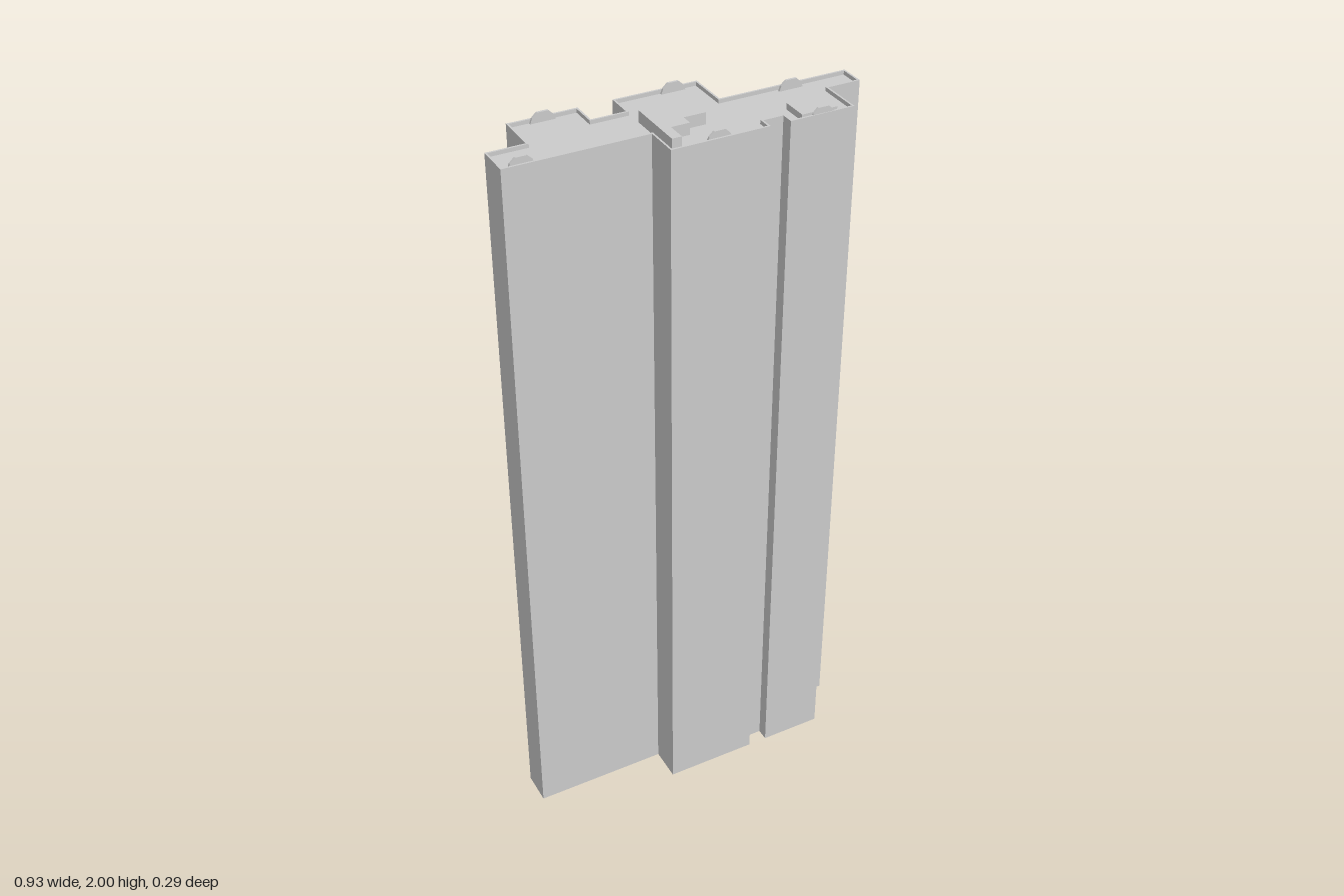
import * as THREE from 'three';

// Footprint corners as [x, z], running clockwise seen from above
const FOOTPRINT = [
  [-0.466, -0.036], [-0.367, -0.036], [-0.367, -0.147], [-0.188, -0.147],
  [-0.188, -0.077], [-0.099, -0.077], [-0.099, -0.147], [0.123, -0.147],
  [0.123, -0.036], [0.465, -0.036], [0.465, 0.031], [0.378, 0.031],
  [0.378, 0.144], [0.208, 0.144], [0.208, 0.111], [0.155, 0.111],
  [0.155, 0.144], [-0.099, 0.144], [-0.099, 0.053], [-0.466, 0.053],
];
const ROOF_Y = 1.97;
const RIM_Y = 1.98;
const RIM_WIDTH = 0.005;

const material = new THREE.MeshStandardMaterial({ color: 0xcccccc, flatShading: true });

const toPoints = (list) => list.map(([x, z]) => new THREE.Vector2(x, z));

// Move every edge of the closed outline inward by d
function inset(points, d) {
  const n = points.length;
  const normal = (a, b) => {
    const v = b.clone().sub(a).normalize();
    return new THREE.Vector2(-v.y, v.x);
  };
  return points.map((p, i) => {
    const before = normal(points[(i + n - 1) % n], p);
    const after = normal(p, points[(i + 1) % n]);
    return p.clone().addScaledVector(before.add(after), d);
  });
}

// Upright prism over a plan shape, from bottom to top
function prism(name, shape, bottom, top) {
  const geometry = new THREE.ExtrudeGeometry(shape, { depth: top - bottom, bevelEnabled: false });
  geometry.rotateX(Math.PI / 2).translate(0, top, 0);
  const mesh = new THREE.Mesh(geometry, material);
  mesh.name = name;
  return mesh;
}

// Thin low-arched plate standing along a roof edge
function archPlate(x, z) {
  const outline = [[-0.032, 0], [0.032, 0], [0.027, 0.013], [0.014, 0.025], [-0.014, 0.025], [-0.027, 0.013]];
  const geometry = new THREE.ExtrudeGeometry(new THREE.Shape(toPoints(outline)), {
    depth: 0.006, bevelEnabled: false,
  });
  const mesh = new THREE.Mesh(geometry, material);
  mesh.position.set(x, ROOF_Y, z - 0.003);
  mesh.name = 'roofArchPlate';
  return mesh;
}

export function createModel() {
  const model = new THREE.Group();
  model.name = 'towerBlock';

  // Tall body with a stepped plan
  const outer = toPoints(FOOTPRINT);
  model.add(prism('towerBody', new THREE.Shape(outer), 0, ROOF_Y));

  // Thin parapet around the roof
  const rim = new THREE.Shape(outer);
  rim.holes.push(new THREE.Path(inset(outer, RIM_WIDTH)));
  model.add(prism('parapet', rim, ROOF_Y, RIM_Y));

  // Stepped plant room and low roof box
  const plantRoom = [
    [-0.09, -0.03], [0.04, -0.03], [0.04, 0.05], [-0.017, 0.05],
    [-0.017, 0.08], [-0.065, 0.08], [-0.065, 0.132], [-0.09, 0.132],
  ];
  model.add(prism('plantRoom', new THREE.Shape(toPoints(plantRoom)), ROOF_Y, 2));
  const lowBox = [[0.241, 0.069], [0.335, 0.072], [0.335, 0.138], [0.241, 0.138]];
  model.add(prism('lowRoofBox', new THREE.Shape(toPoints(lowBox)), ROOF_Y, 1.986));

  // Arched plates just inside the parapet
  const plates = [
    [-0.413, 0.042], [-0.28, -0.139], [0.055, -0.139],
    [0.307, -0.023], [0.029, 0.133], [0.296, 0.139],
  ];
  for (const [x, z] of plates) model.add(archPlate(x, z));

  return model;
}
